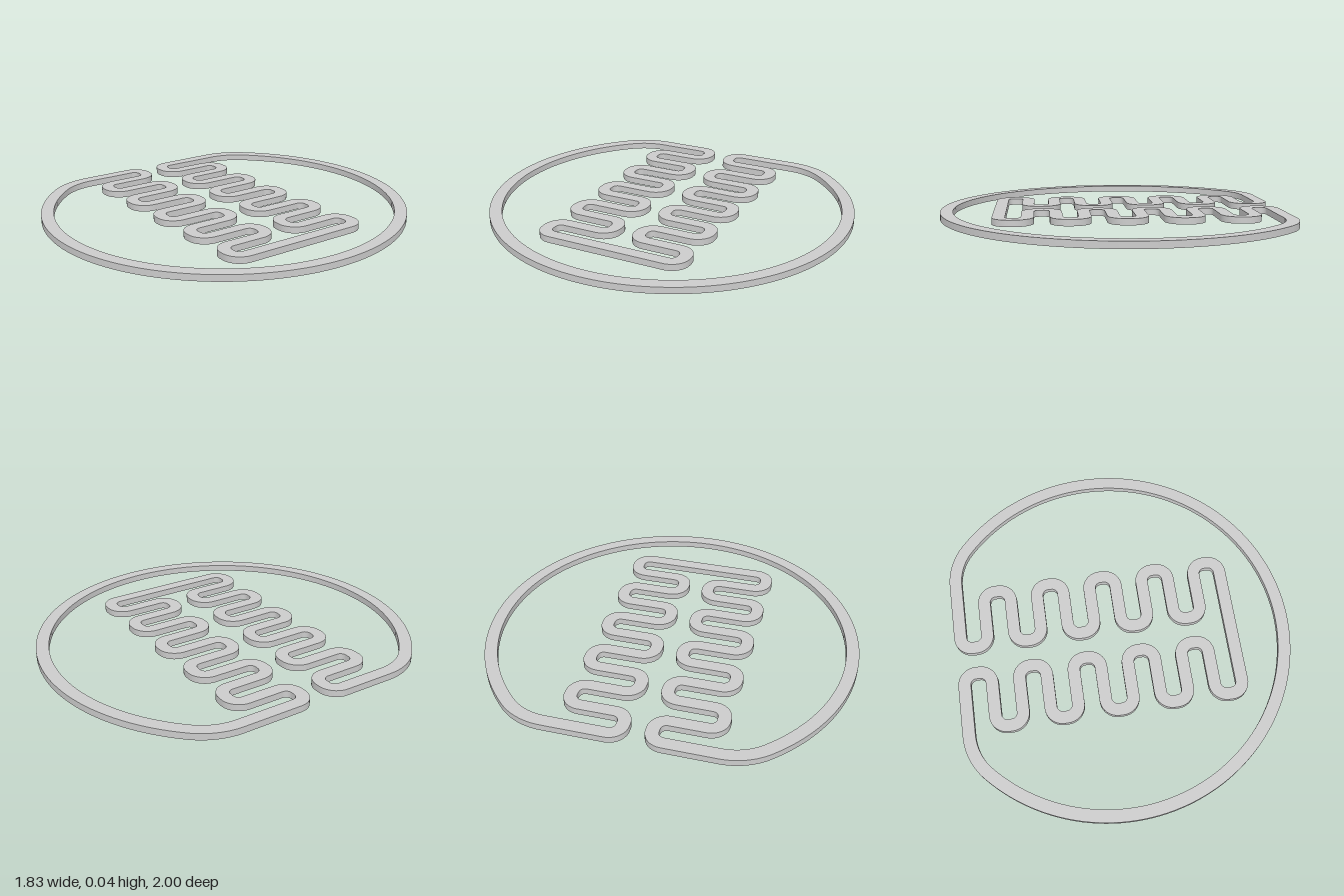
import * as THREE from 'three';

const HALF = 0.0335;   // half the strip width
const HEIGHT = 0.035;

// Closed centre line on the ground plane: points with travel direction
function centreLine() {
  const line = [];
  const add = (x, z, tx, tz) => line.push({ x, z, tx, tz });

  // Serpentine corners: upper run to the right, lower run back to the left
  const bar = i => -0.884 + i * 0.1479;
  const corners = [];
  for (let i = 0; i < 10; i++) {
    const z = i % 2 ? -0.365 : -0.05;
    corners.push([bar(i), z], [bar(i + 1), z]);
  }
  for (let i = 10; i > 0; i--) {
    const z = i % 2 ? 0.096 : 0.411;
    corners.push([bar(i), z], [bar(i - 1), z]);
  }

  // Round every corner with a quarter arc
  const r = 0.064, steps = 10;
  corners.forEach(([x, z], i) => {
    const [px, pz] = corners[i - 1] ?? [x, z - 1];
    const [nx, nz] = corners[i + 1] ?? [x, z + 1];
    const d0 = new THREE.Vector2(x - px, z - pz).normalize();
    const d1 = new THREE.Vector2(nx - x, nz - z).normalize();
    for (let k = 0; k <= steps; k++) {
      const a = (k / steps) * Math.PI / 2, c = Math.cos(a), s = Math.sin(a);
      add(x + r * (d1.x * (1 - c) - d0.x * (1 - s)),
          z + r * (d1.y * (1 - c) - d0.y * (1 - s)),
          d0.x * c + d1.x * s, d0.y * c + d1.y * s);
    }
  });

  // Big ring, blended into the left bars by two smaller arcs
  const arc = (cx, cz, radius, from, to, n) => {
    for (let k = 0; k <= n; k++) {
      const a = from + (to - from) * k / n, c = Math.cos(a), s = Math.sin(a);
      add(cx + radius * c, cz + radius * s, s, -c);
    }
  };
  const ringX = -0.085, ringR = 0.9665, blendR = 0.32;
  const blendX = -0.884 + blendR;
  const blendZ = Math.sqrt((ringR - blendR) ** 2 - (blendX - ringX) ** 2);
  const join = Math.atan2(blendZ, blendX - ringX);
  arc(blendX, blendZ, blendR, Math.PI, join, 16);
  arc(ringX, 0, ringR, join, -join, 120);
  arc(blendX, -blendZ, blendR, -join, -Math.PI, 16);

  // Drop coincident neighbours
  return line.filter((p, i) => {
    const q = line[(i + 1) % line.length];
    return Math.hypot(p.x - q.x, p.z - q.z) > 1e-4;
  });
}

// Closed band swept along the line between two section points [side, y]
function band(line, a, b) {
  const positions = [], index = [], n = line.length;
  line.forEach((p, i) => {
    for (const [side, y] of [a, b]) {
      positions.push(p.x + p.tz * side, y, p.z - p.tx * side);
    }
    const a0 = 2 * i, a1 = 2 * ((i + 1) % n);
    index.push(a0, a1, a0 + 1, a0 + 1, a1, a1 + 1);
  });
  const geometry = new THREE.BufferGeometry();
  geometry.setAttribute('position', new THREE.Float32BufferAttribute(positions, 3));
  geometry.setIndex(index);
  geometry.computeVertexNormals();
  return geometry;
}

export function createModel() {
  const group = new THREE.Group();
  group.name = 'serpentineLoop';
  const material = new THREE.MeshStandardMaterial({ color: 0xcccccc, side: THREE.DoubleSide });
  const line = centreLine();

  // Channel section, open underneath: wall, top, wall
  const section = [[-HALF, 0], [-HALF, HEIGHT], [HALF, HEIGHT], [HALF, 0]];
  ['outerWall', 'topFace', 'innerWall'].forEach((name, i) => {
    const mesh = new THREE.Mesh(band(line, section[i], section[i + 1]), material);
    mesh.name = name;
    group.add(mesh);
  });
  return group;
}
